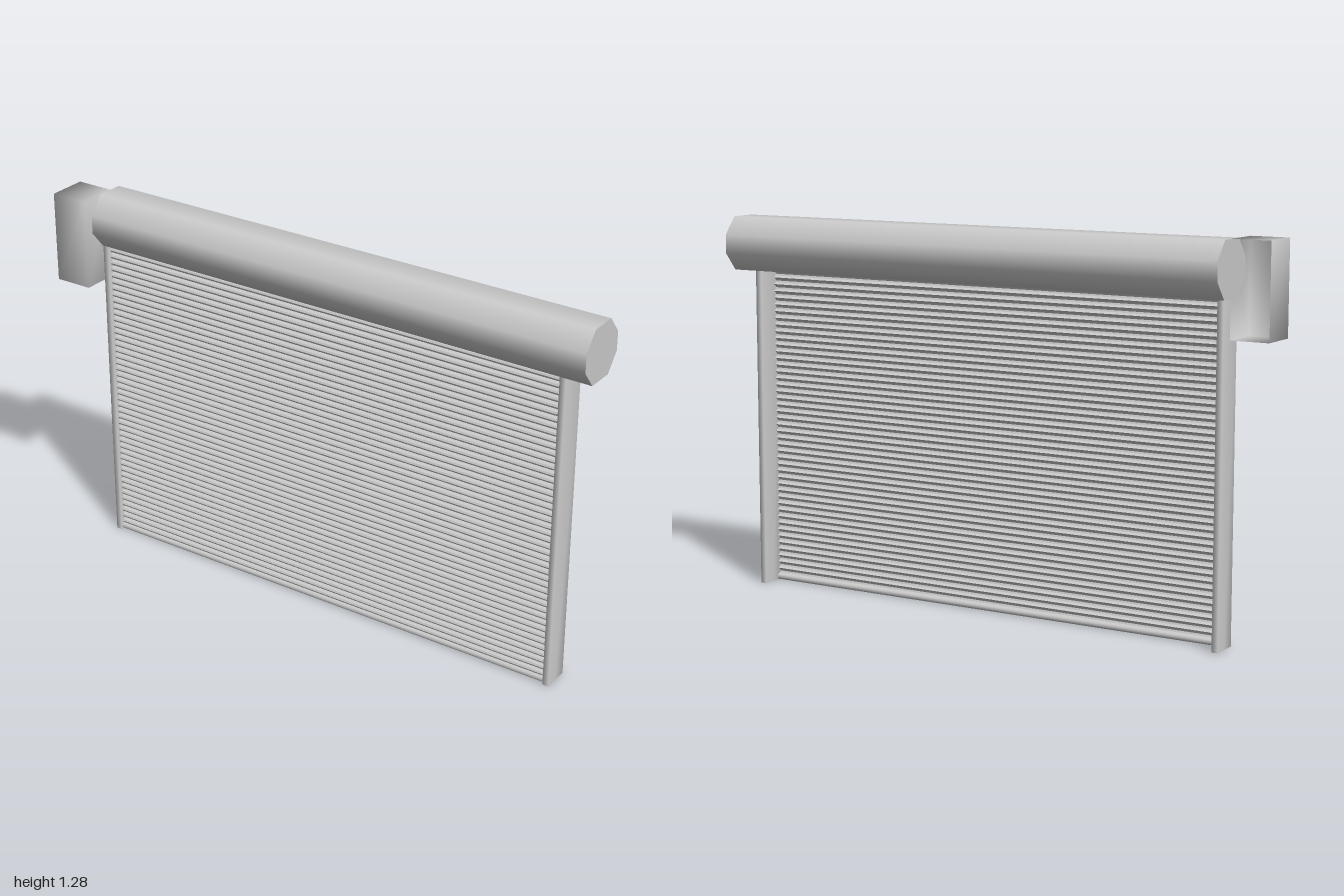
import * as THREE from 'three';
import { mergeVertices } from 'three/addons/utils/BufferGeometryUtils.js';

const material = new THREE.MeshStandardMaterial({ color: 0xcccccc, side: THREE.DoubleSide });
const flatMaterial = new THREE.MeshStandardMaterial({ color: 0xcccccc, side: THREE.DoubleSide, flatShading: true });

// Sheet-metal box with shared, softened normals and some sides left open
// (side order: 0 +x, 1 -x, 2 +y, 3 -y, 4 +z, 5 -z).
function openBox(min, max, openSides, depthSegments = 1) {
  const size = max.map((v, i) => v - min[i]);
  const box = new THREE.BoxGeometry(...size, 1, 1, depthSegments);
  const index = Array.from(box.index.array);
  const kept = box.groups
    .filter((g) => !openSides.includes(g.materialIndex))
    .flatMap((g) => index.slice(g.start, g.start + g.count));
  box.setIndex(kept);
  box.clearGroups();
  box.deleteAttribute('normal');
  box.deleteAttribute('uv');
  const smooth = mergeVertices(box);
  smooth.computeVertexNormals();
  return smooth.translate(...min.map((v, i) => (v + max[i]) / 2));
}

// Eight-sided roller housing, slightly wider than tall, with flat end caps.
function housingGeometry(x0, x1) {
  const geometry = new THREE.CylinderGeometry(1, 1, x1 - x0, 8, 1, false, Math.PI / 8);
  geometry.rotateZ(Math.PI / 2);
  const p = geometry.attributes.position;
  const remap = (v, near, far) => Math.abs(v) < 0.01 ? 0 : Math.sign(v) * (Math.abs(v) > 0.6 ? far : near);
  for (let i = 0; i < p.count; i++) {
    p.setY(i, remap(p.getY(i), 0.032, 0.092));
    p.setZ(i, remap(p.getZ(i), 0.048, 0.0975));
  }
  return geometry.translate((x0 + x1) / 2, 1.193, -0.0175);
}

// Ribbed curtain: every slat bulges forward and meets the next in a narrow groove.
function curtainGeometry(x0, x1, y0, y1, slats) {
  const profile = [0, 0.009, 0.012, 0.009];
  const rows = slats * profile.length;
  const geometry = new THREE.PlaneGeometry(x1 - x0, y1 - y0, 1, rows);
  const p = geometry.attributes.position;
  for (let i = 0; i < p.count; i++) {
    p.setZ(i, profile[Math.floor(i / 2) % profile.length]);
  }
  return geometry.translate((x0 + x1) / 2, (y0 + y1) / 2, 0.008);
}

export function createModel() {
  const group = new THREE.Group();
  const add = (name, geometry, mat = material) => {
    const mesh = new THREE.Mesh(geometry, mat);
    mesh.name = name;
    group.add(mesh);
  };

  add('rollerHousing', housingGeometry(-0.868, 1));

  // Side guides, open at the foot
  add('rightGuide', openBox([-0.866, 0, -0.065], [-0.845, 1.105, 0.03], [3], 2));
  add('leftGuide', openBox([0.89, 0, -0.065], [0.911, 1.105, 0.03], [3], 2));

  // Slatted curtain and the bar along its lower edge
  add('curtain', curtainGeometry(-0.85, 0.895, 0.018, 1.12, 47), flatMaterial);
  const bar = new THREE.CylinderGeometry(0.011, 0.011, 1.735, 10);
  bar.rotateZ(Math.PI / 2).translate(0.0225, 0.011, 0.014);
  add('bottomBar', bar);

  // Motor cover, open at the back
  add('motorCover', openBox([-1, 0.975, -0.022], [-0.868, 1.285, 0.114], [5]));

  return group;
}
